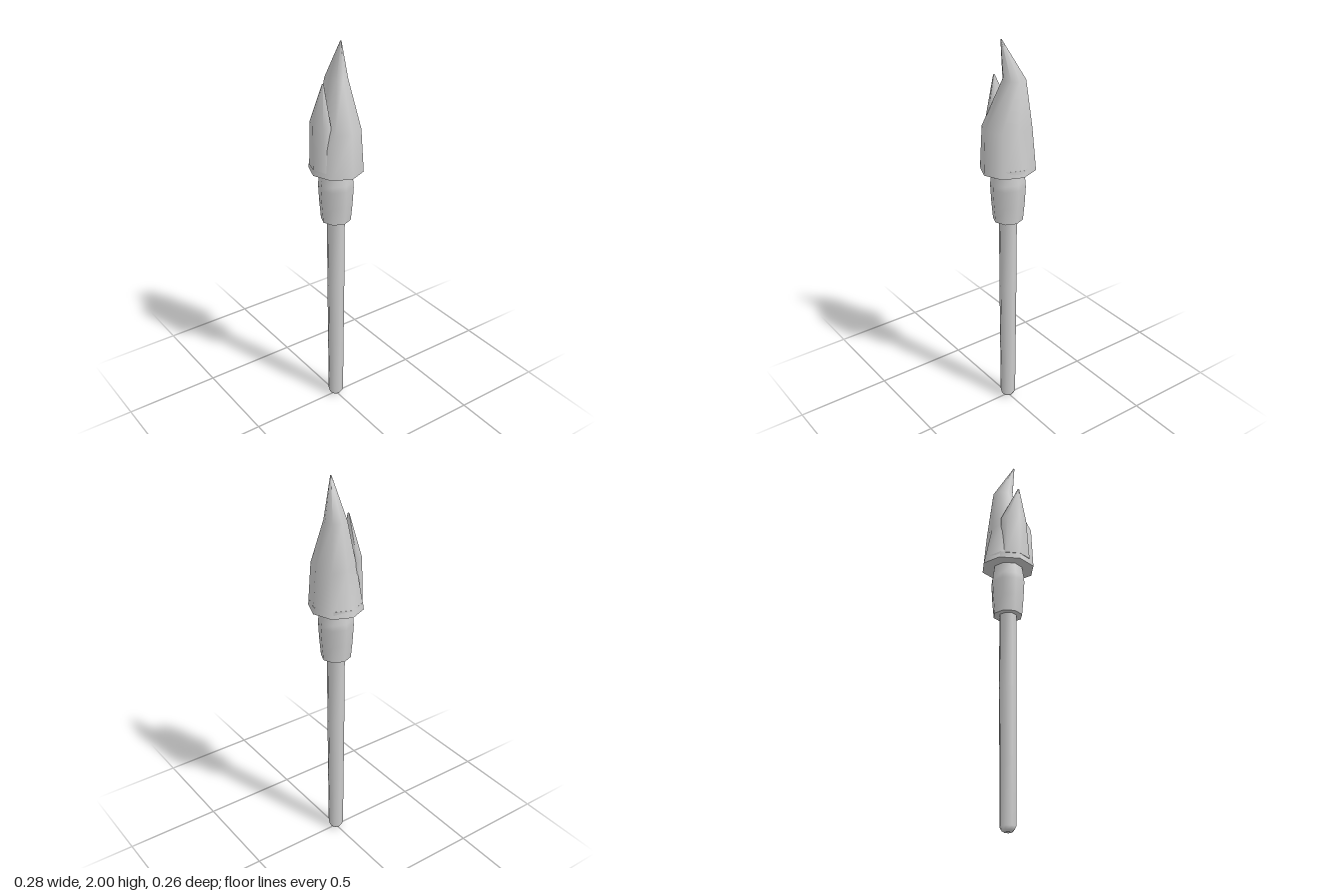
import * as THREE from 'three';

const SIDES = 8;

// Octagonal ring with corners on the axes
function ring(y, rx, rz = rx, cx = 0, cz = 0) {
  return Array.from({ length: SIDES }, (_, i) => {
    const a = (i / SIDES) * Math.PI * 2;
    return [cx + rx * Math.cos(a), y, cz + rz * Math.sin(a)];
  });
}

// Ring from explicit [x, z] corners, ordered from +x towards +z
const outline = (y, pts) => pts.map(([x, z]) => [x, y, z]);

// Smooth skin through the rings, with separate flat end caps
function loft(rings) {
  const pos = [], index = [], n = SIDES;
  rings.forEach(r => r.forEach(p => pos.push(...p)));
  for (let k = 0; k < rings.length - 1; k++) {
    for (let i = 0; i < n; i++) {
      const a = k * n + i, b = k * n + (i + 1) % n;
      index.push(a, a + n, b, b, a + n, b + n);
    }
  }
  const cap = (r, up) => {
    const s = pos.length / 3;
    r.forEach(p => pos.push(...p));
    for (let i = 1; i < n - 1; i++) {
      index.push(s, s + (up ? i + 1 : i), s + (up ? i : i + 1));
    }
  };
  cap(rings[0], false);
  cap(rings[rings.length - 1], true);
  const g = new THREE.BufferGeometry();
  g.setAttribute('position', new THREE.Float32BufferAttribute(pos, 3));
  g.setIndex(index);
  g.computeVertexNormals();
  return g;
}

export function createModel() {
  const group = new THREE.Group();
  const grey = new THREE.MeshStandardMaterial({ color: 0xcccccc });
  grey.name = 'light grey';
  const add = (name, rings) => {
    const mesh = new THREE.Mesh(loft(rings), grey);
    mesh.name = name;
    group.add(mesh);
  };

  // Slim handle with a rounded foot
  add('handle', [
    ring(0, 0.018), ring(0.008, 0.03), ring(0.025, 0.04), ring(0.35, 0.042),
    ring(0.7, 0.044), ring(1.1, 0.045),
  ]);

  // Bulging collar
  add('collar', [ring(1.09, 0.075), ring(1.18, 0.083), ring(1.27, 0.088), ring(1.3, 0.086), ring(1.36, 0.076)]);

  // Large flame, leaning back and then curling to its left
  add('mainFlame', [
    ring(1.36, 0.14, 0.132),
    outline(1.58, [[0.131, 0], [0.098, 0.075], [0.01, 0.085], [-0.068, 0.07],
      [-0.093, 0], [-0.08, -0.085], [0.015, -0.106], [0.093, -0.08]]),
    outline(1.81, [[0.036, -0.015], [0.022, 0.012], [-0.012, 0.03], [-0.06, 0.022],
      [-0.076, -0.02], [-0.06, -0.06], [-0.015, -0.072], [0.02, -0.055]]),
    ring(2, 0.003, 0.003, 0.038, 0),
  ]);

  // Small flame growing from the front of the rim
  add('frontFlame', [
    outline(1.39, [[0.068, 0.08], [0.068, 0.108], [0, 0.131], [-0.068, 0.108],
      [-0.076, 0.075], [-0.03, 0.06], [0.01, 0.05], [0.04, 0.055]]),
    outline(1.61, [[0.064, 0.072], [0.05, 0.108], [0, 0.131], [-0.06, 0.108],
      [-0.076, 0.066], [-0.03, 0.063], [0.012, 0.055], [0.036, 0.055]]),
    ring(1.81, 0.004, 0.004, 0.018, 0.085),
  ]);

  // Thin rim joining the front flame to the base
  add('flameRim', [ring(1.36, 0.138, 0.131), ring(1.395, 0.133, 0.13)]);

  return group;
}
